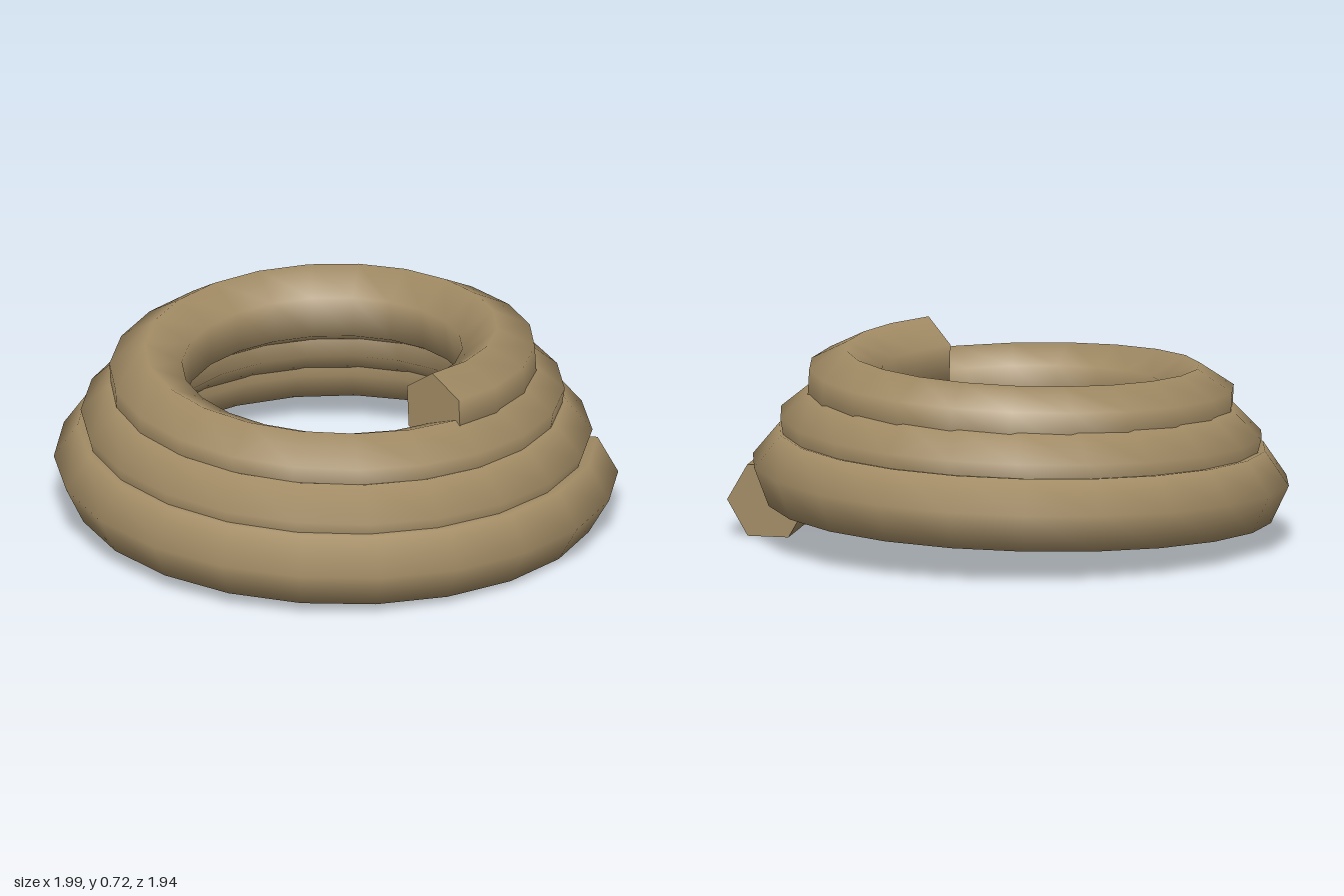
import * as THREE from 'three';

const TURNS = 3.15, SEGMENTS = 69, RADIUS = 0.148, SIDES = 6;

// Rising spiral that tightens as it climbs, stepped evenly by angle
class CoilCurve extends THREE.Curve {
  getPoint(t, target = new THREE.Vector3()) {
    const turn = t * TURNS, a = turn * Math.PI * 2, r = 0.872 - 0.09 * turn;
    return target.set(-0.03 + r * Math.cos(a), 0.13 + 0.1403 * turn, -0.025 + r * Math.sin(a));
  }
  getPointAt(u, target) { return this.getPoint(u, target); }
  getTangentAt(u, target = new THREE.Vector3()) {
    const d = 1 / SEGMENTS;
    const before = this.getPoint(Math.max(0, u - d));
    return target.copy(this.getPoint(Math.min(1, u + d))).sub(before).normalize();
  }
  // Quarter turn of the frames so the first hexagon points sideways
  computeFrenetFrames(segments, closed) {
    const f = super.computeFrenetFrames(segments, closed);
    return { tangents: f.tangents, normals: f.binormals, binormals: f.normals.map(n => n.clone().negate()) };
  }
}

export function createModel() {
  const group = new THREE.Group();
  group.name = 'ropeCoil';
  const material = new THREE.MeshStandardMaterial({ color: 0xa48d66 });
  const curve = new CoilCurve();
  const frames = curve.computeFrenetFrames(SEGMENTS, false);

  // Coiled rope
  const rope = new THREE.Mesh(new THREE.TubeGeometry(curve, SEGMENTS, RADIUS, SIDES, false), material);
  rope.name = 'rope';
  group.add(rope);

  // Flat cut ends
  const addEnd = (name, i, sign) => {
    const basis = new THREE.Matrix4().makeBasis(
      frames.normals[i],
      frames.binormals[i].clone().multiplyScalar(sign),
      frames.tangents[i].clone().multiplyScalar(sign)
    ).setPosition(curve.getPoint(i / SEGMENTS));
    const end = new THREE.Mesh(new THREE.CircleGeometry(RADIUS, SIDES).applyMatrix4(basis), material);
    end.name = name;
    group.add(end);
  };
  addEnd('lowerEnd', 0, -1);
  addEnd('upperEnd', SEGMENTS, 1);

  return group;
}
